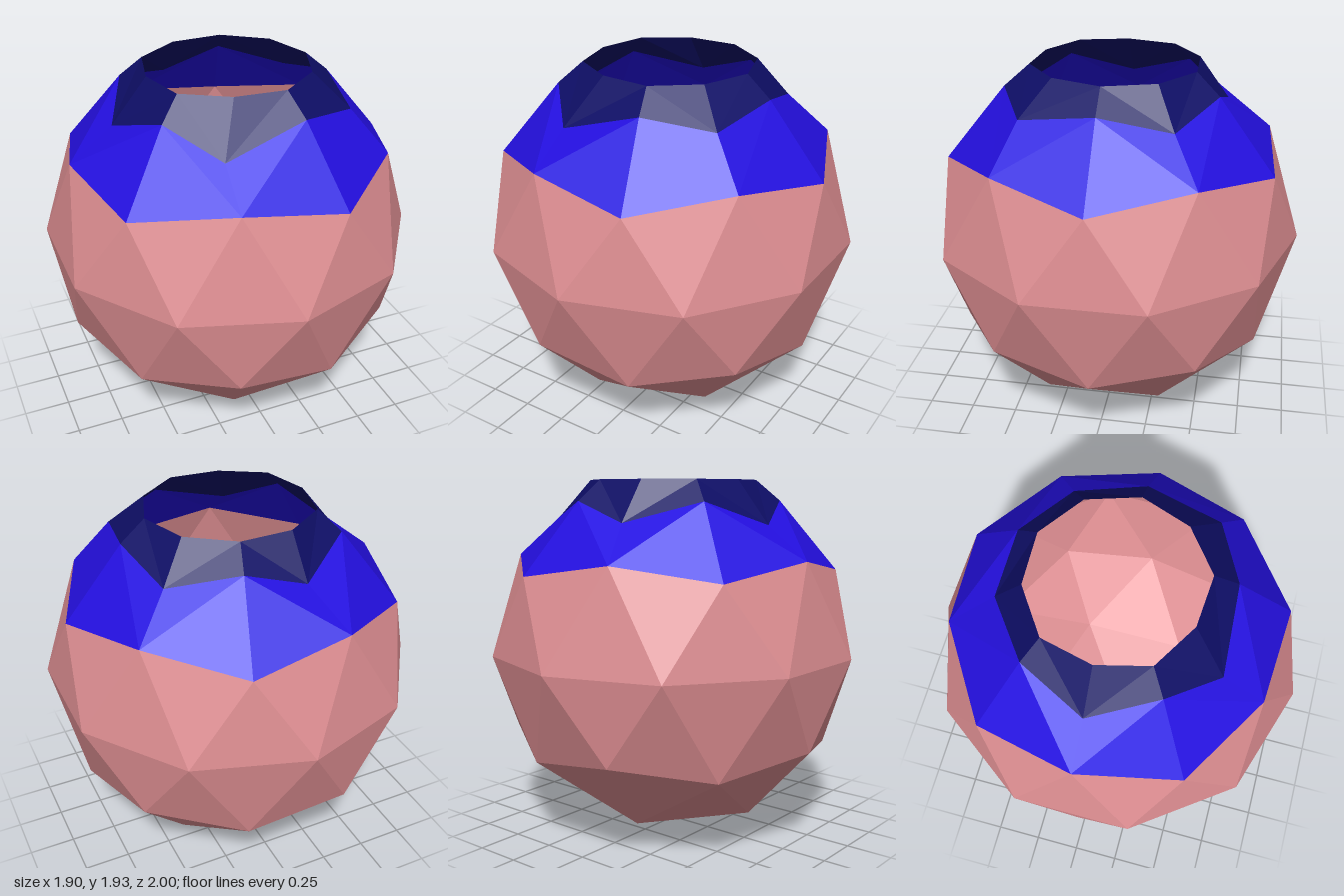
import * as THREE from 'three';

const skin = new THREE.MeshStandardMaterial({ name: 'dusty pink', color: 0xde8e92, side: THREE.DoubleSide, flatShading: true });
const blue = new THREE.MeshStandardMaterial({ name: 'bright blue', color: 0x240fe0, side: THREE.DoubleSide, flatShading: true });
const navy = new THREE.MeshStandardMaterial({ name: 'navy', color: 0x0e0e66, side: THREE.DoubleSide, flatShading: true });

// Point on a circle around the y axis; step is in units of 36 degrees
const polar = (step, r, y) => [r * Math.cos(step * Math.PI / 5), y, r * Math.sin(step * Math.PI / 5)];

// Ten-point ring, alternating between two radii and heights
const ring = (rEven, yEven, rOdd, yOdd, offset = 0) => Array.from({ length: 10 }, (_, k) =>
  k % 2 ? polar(k + offset, rOdd, yOdd) : polar(k + offset, rEven, yEven));

function facetMesh(name, triangles, material) {
  const geometry = new THREE.BufferGeometry();
  geometry.setAttribute('position', new THREE.Float32BufferAttribute(triangles.flat(2), 3));
  geometry.computeVertexNormals();
  const mesh = new THREE.Mesh(geometry, material);
  mesh.name = name;
  return mesh;
}

// Zigzag band whose upper ring is turned by half a step
function zigzag(low, up, shift) {
  const tris = [];
  for (let k = 0; k < 10; k++) {
    const n = (k + 1) % 10, u = (k + shift) % 10, v = (u + 1) % 10;
    tris.push([low[k], up[u], low[n]], [low[n], up[u], up[v]]);
  }
  return tris;
}

// Band of aligned quads, each split from its even upper corner to its odd lower corner
function quadBand(low, up) {
  const tris = [];
  for (let k = 0; k < 10; k++) {
    const n = (k + 1) % 10;
    if (k % 2) tris.push([low[k], up[n], low[n]], [low[k], up[k], up[n]]);
    else tris.push([low[k], up[k], low[n]], [low[n], up[k], up[n]]);
  }
  return tris;
}

export function createModel() {
  const group = new THREE.Group();
  group.name = 'facetedPot';

  const pole = [0, 0, 0];
  const foot = [1, 3, 5, 7, 9].map(s => polar(s, 0.526, 0.149));
  const lower = ring(0.851, 0.474, 0.894, 0.553);
  const equator = ring(1, 1, 1, 1, 0.5);
  const upper = ring(0.894, 1.447, 0.851, 1.526);

  // Slightly irregular hand-shaped neck and level rim
  const neck = ring(0.58, 1.82, 0.62, 1.7);
  neck[1] = [0.51, 1.76, 0.395];
  neck[3] = [-0.25, 1.69, 0.585];
  neck[7] = [-0.145, 1.715, -0.58];
  neck[9] = [0.505, 1.735, -0.365];
  const rim = [0.45, 0.44, 0.447, 0.425, 0.45, 0.43, 0.453, 0.445, 0.452, 0.452]
    .map((r, k) => polar(k, r, 1.93));

  // Closed underside: five-sided cap and the facets around it
  const body = [];
  for (let j = 0; j < 5; j++) {
    const k = 2 * j + 1, a = foot[j], b = foot[(j + 1) % 5];
    const next = lower[(k + 1) % 10];
    body.push([pole, a, b], [a, lower[k - 1], lower[k]], [a, lower[k], next], [a, next, b]);
  }
  body.push(...zigzag(lower, equator, 0), ...zigzag(equator, upper, 1));

  group.add(
    facetMesh('body', body, skin),
    facetMesh('shoulder', quadBand(upper, neck), blue),
    facetMesh('rim', quadBand(neck, rim), navy)
  );
  return group;
}
